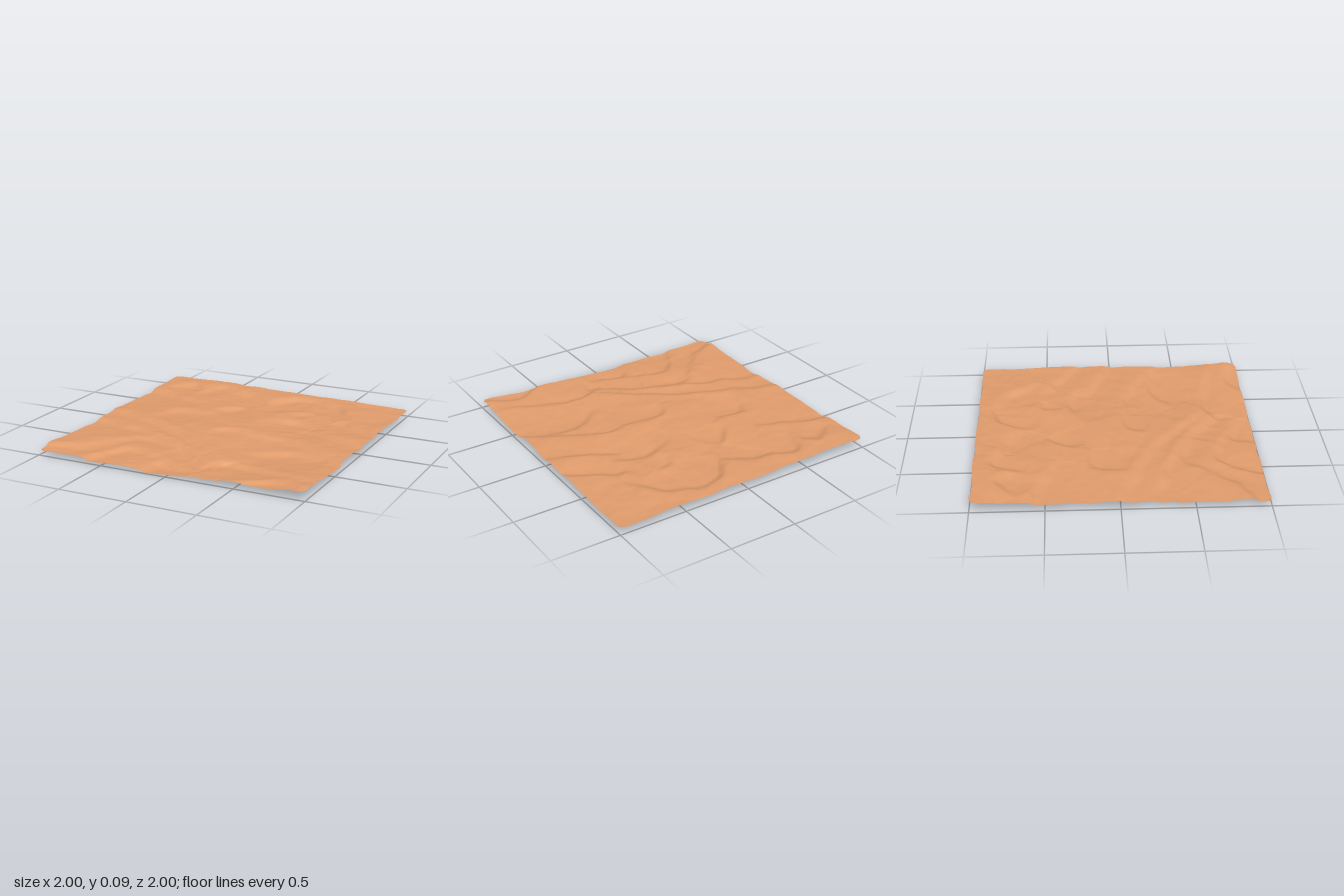
import * as THREE from 'three';

// Coarse heights over x (columns) and z (rows), both from -1 to 1
const BASE = [
  [0.09, 0.085, 0.075, 0.07, 0.065],
  [0.072, 0.075, 0.066, 0.068, 0.07],
  [0.075, 0.075, 0.08, 0.064, 0.075],
  [0.06, 0.07, 0.06, 0.046, 0.066],
  [0.066, 0.045, 0.04, 0.06, 0.085],
];

// Dune crests as start, middle, end (x, z); the steep face lies right of travel
const CRESTS = [
  [-1.2, -0.05, -0.3, 0.27, 0.3, 0.74],
  [-1.1, 0.2, -0.55, 0.34, 0.05, 0.62],
  [-0.62, 0.08, -0.56, -0.2, -0.28, -0.18],
  [-0.07, 0.24, 0, 0.09, 0.3, 0.1],
  [0.2, 0.09, 0.6, 0.14, 1.15, 0.48],
  [0.04, -0.2, 0.38, -0.35, 0.64, -0.26],
  [-0.61, -0.65, -0.52, -0.88, -0.3, -0.78],
  [-0.38, -0.78, -0.15, -0.76, 0.02, -0.66],
  [0.02, -0.58, 0.1, -0.85, 0.3, -0.87],
  [0.25, -0.88, 0.5, -0.82, 0.7, -0.5],
  [-0.68, 0.66, -0.45, 0.46, -0.1, 0.58],
  [-0.15, 0.54, 0.05, 0.67, 0.25, 0.8],
  [-0.7, 1.2, -0.46, 0.69, 0, 0.83],
  [-1.2, 0.95, -0.8, 0.82, -0.6, 0.62],
  [0.1, 0.78, 0.42, 0.67, 0.98, 0.8],
  [0.36, 0.46, 0.6, 0.28, 0.88, 0.32],
  [-0.92, -0.7, -0.75, -0.82, -0.62, -0.78],
  [-1.2, -0.65, -0.85, -0.56, -0.45, -0.4],
  [0.27, -0.36, 0.3, -0.52, 0.44, -0.57],
  [0.5, -0.58, 0.75, -0.38, 1.2, -0.22],
  [-0.22, -0.22, -0.24, -0.4, -0.14, -0.5],
  [0.5, -0.22, 0.72, -0.12, 1.15, 0.03],
  [0.45, 1.05, 0.75, 0.9, 1.1, 0.98],
  [-0.2, 1.02, -0.12, 0.84, 0.15, 0.9],
].map(sampleCrest);

// Points along a crest with the steep side's direction and a taper to both ends
function sampleCrest([x0, z0, x1, z1, x2, z2]) {
  const curve = new THREE.CatmullRomCurve3([
    new THREE.Vector3(x0, 0, z0), new THREE.Vector3(x1, 0, z1), new THREE.Vector3(x2, 0, z2),
  ]);
  return Array.from({ length: 41 }, (_, i) => {
    const t = i / 40, p = curve.getPoint(t), d = curve.getTangent(t);
    return { x: p.x, z: p.z, nx: -d.z, nz: d.x, taper: Math.sqrt(Math.abs(Math.sin(Math.PI * t))) };
  });
}

const ease = (t) => t * t * (3 - 2 * t);
const mix = THREE.MathUtils.lerp;

// Repeatable smooth noise between -1 and 1
function hash(i, j) {
  let h = Math.imul(i, 374761393) + Math.imul(j, 668265263);
  h = Math.imul(h ^ (h >>> 13), 1274126177);
  return ((h ^ (h >>> 16)) >>> 0) / 2147483648 - 1;
}
function noise(x, z) {
  const i = Math.floor(x), j = Math.floor(z), u = ease(x - i), v = ease(z - j);
  return mix(mix(hash(i, j), hash(i + 1, j), u), mix(hash(i, j + 1), hash(i + 1, j + 1), u), v);
}

function baseHeight(x, z) {
  const gx = (x + 1) * 2, gz = (z + 1) * 2;
  const i = Math.min(3, Math.floor(gx)), j = Math.min(3, Math.floor(gz));
  const u = ease(gx - i), v = ease(gz - j);
  return mix(mix(BASE[j][i], BASE[j][i + 1], u), mix(BASE[j + 1][i], BASE[j + 1][i + 1], u), v);
}

// Steep drop across the crest, fading back to level on both sides
function crestHeight(samples, x, z) {
  let best = Infinity, near;
  for (const s of samples) {
    const d = (x - s.x) ** 2 + (z - s.z) ** 2;
    if (d < best) { best = d; near = s; }
  }
  const side = (x - near.x) * near.nx + (z - near.z) * near.nz;
  const reach = side > 0 ? 0.16 : 0.14;
  return -0.019 * near.taper * Math.tanh(side / 0.034) * Math.exp(-Math.sqrt(best) / reach);
}

function height(x, z) {
  // Wobble the crest lines so they look wind-worn
  const wx = x + 0.025 * noise(x * 7 + 3, z * 7), wz = z + 0.025 * noise(x * 7, z * 7 + 9);
  let h = baseHeight(x, z);
  for (const crest of CRESTS) h += crestHeight(crest, wx, wz);
  // Ripples drawn out along the wind
  const a = x - z * 0.35, b = z + x * 0.35;
  return h + 0.004 * noise(a * 4, b * 6) + 0.003 * noise(a * 9, b * 12) + 0.0014 * noise(a * 18, b * 26);
}

export function createModel() {
  const sand = new THREE.MeshStandardMaterial({ color: 0xdf9b6b, side: THREE.DoubleSide });
  sand.name = 'sand';

  const geometry = new THREE.PlaneGeometry(2, 2, 180, 180).rotateX(-Math.PI / 2);
  const pos = geometry.attributes.position;
  let low = Infinity;
  for (let i = 0; i < pos.count; i++) {
    const x = pos.getX(i), z = pos.getZ(i), h = height(x, z);
    // Slightly uneven border with rounded corners
    const inX = 0.02 * Math.max(0, noise(z * 6, 40) - 0.2) + 0.018 * Math.abs(z) ** 100;
    const inZ = 0.02 * Math.max(0, noise(x * 6, 80) - 0.2) + 0.018 * Math.abs(x) ** 100;
    pos.setXYZ(i, x * (1 - inX * Math.abs(x) ** 20), h, z * (1 - inZ * Math.abs(z) ** 20));
    low = Math.min(low, h);
  }
  // Rest the lowest hollow on the ground
  geometry.translate(0, -low, 0);
  geometry.computeVertexNormals();

  const dunes = new THREE.Mesh(geometry, sand);
  dunes.name = 'duneSurface';
  const group = new THREE.Group();
  group.name = 'desertTerrain';
  group.add(dunes);
  return group;
}
